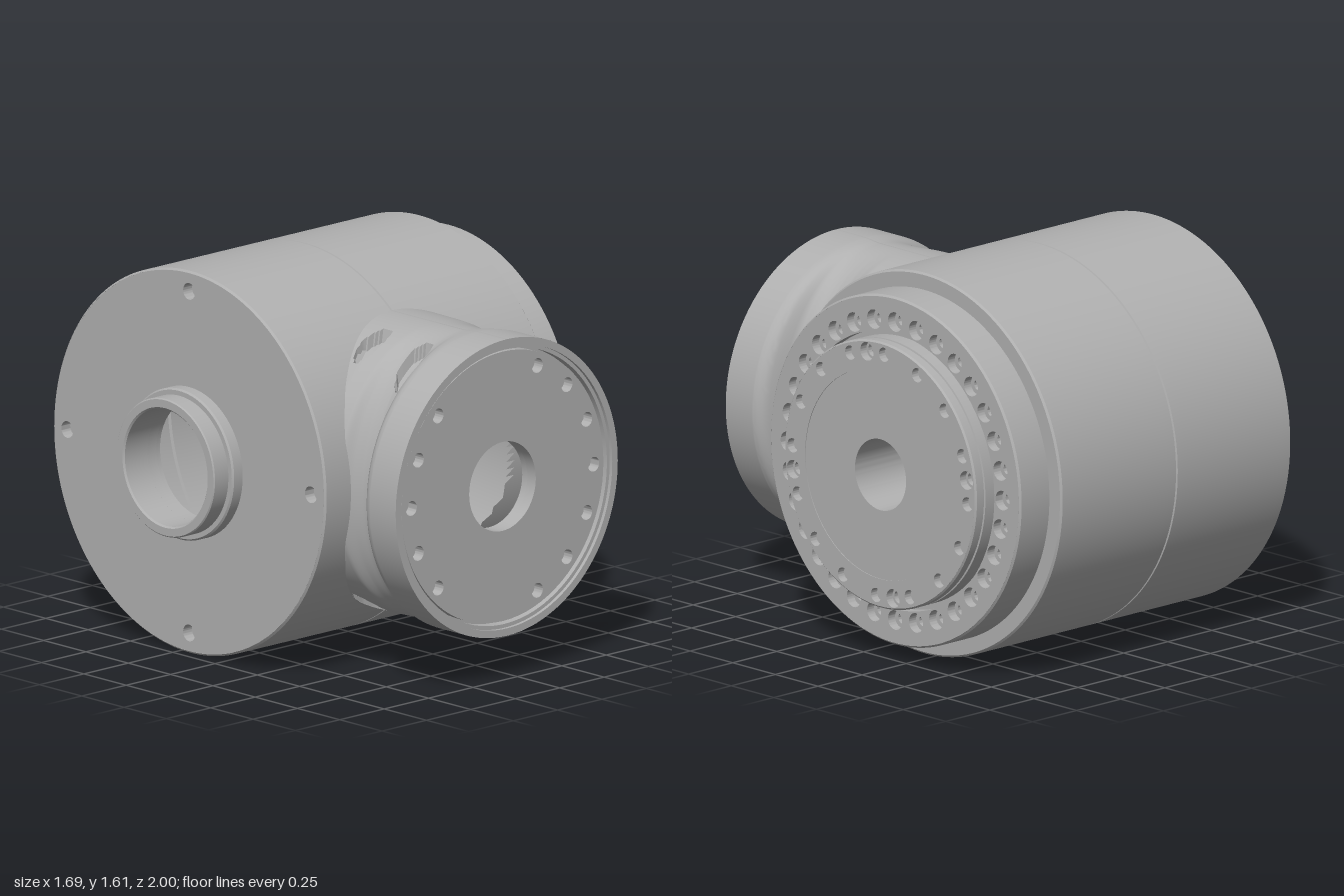
import * as THREE from 'three';
import { toCreasedNormals } from 'three/addons/utils/BufferGeometryUtils.js';

const metal = new THREE.MeshStandardMaterial({ color: 0xb0b0b0, side: THREE.DoubleSide });
metal.name = 'machined grey';

const CY = 0.807, CZ = -0.195; // main axis, along x
const NX = -0.06;              // neck axis, along z
const CREASE = 0.5;

function add(parent, name, geometry) {
  const mesh = new THREE.Mesh(geometry, metal);
  mesh.name = name;
  parent.add(mesh);
  return mesh;
}

// Turned part; profile points are [radius, position along axis], axis is y
function turned(points, segments = 128) {
  const g = new THREE.LatheGeometry(points.map(p => new THREE.Vector2(...p)), segments);
  return toCreasedNormals(g, CREASE);
}

// Flat disc with a bore and round holes [u, v, r], thickness along +z
function plate(outer, inner, holes, depth) {
  const shape = new THREE.Shape();
  shape.absarc(0, 0, outer, 0, Math.PI * 2, false);
  const cut = (u, v, r) => {
    const p = new THREE.Path();
    p.absarc(u, v, r, 0, Math.PI * 2, true);
    shape.holes.push(p);
  };
  if (inner) cut(0, 0, inner);
  holes.forEach(h => cut(...h));
  const curveSegments = 40;
  const g = new THREE.ExtrudeGeometry(shape, { depth, bevelEnabled: false, curveSegments });
  return toCreasedNormals(g, CREASE);
}

// Holes at given angles in degrees on a bolt circle
const circleHoles = (radius, r, angles) => angles.map(a => {
  const t = THREE.MathUtils.degToRad(a);
  return [radius * Math.cos(t), radius * Math.sin(t), r];
});
const every = (n, start = 0) => Array.from({ length: n }, (_, i) => start + i * 360 / n);

// Piecewise linear lookup in [z, value] pairs
function lookup(table, z) {
  for (let i = 1; i < table.length; i++) {
    const [z0, a] = table[i - 1], [z1, b] = table[i];
    if (z <= z1) return a + (b - a) * Math.max(0, (z - z0) / (z1 - z0));
  }
  return table[table.length - 1][1];
}

// Body shell with the parting groove, opened where the neck joins
function bodyShell() {
  const pts = [[0.797, -0.71], [0.805, -0.702]];
  for (let i = 1; i < 14; i++) pts.push([0.805, -0.702 + i * 0.0454]);
  pts.push([0.805, NX - 0.005], [0.793, NX], [0.805, NX + 0.005]);
  for (let i = 1; i < 14; i++) pts.push([0.805, NX + 0.005 + i * 0.0457]);
  pts.push([0.805, 0.587], [0.797, 0.595], [0.72, 0.595]);
  const g = turned(pts, 160);
  g.rotateZ(-Math.PI / 2);
  const pos = g.attributes.position, keep = [];
  for (let i = 0; i < pos.count; i += 3) {
    const x = (pos.getX(i) + pos.getX(i + 1) + pos.getX(i + 2)) / 3 - NX;
    const y = (pos.getY(i) + pos.getY(i + 1) + pos.getY(i + 2)) / 3;
    if (pos.getZ(i) < 0 || Math.hypot(x, y) > 0.4) keep.push(i, i + 1, i + 2);
  }
  g.setIndex(keep);
  return g;
}

// Neck: round section pinched at the sides, with parting groove and bolt pockets
function neckShell() {
  const halfWidth = [[0.2, 0.6], [0.5, 0.57], [0.58, 0.545], [0.61, 0.505], [0.65, 0.472], [0.69, 0.46],
    [0.72, 0.464], [0.74, 0.475], [0.77, 0.51], [0.785, 0.56], [0.8, 0.598], [0.82, 0.617], [0.84, 0.625], [1, 0.625]];
  const halfHeight = [[0.2, 0.617], [0.75, 0.617], [0.83, 0.625], [1, 0.625]];
  const angles = [];
  for (let i = 0; i < 200; i++) {
    const a = i * 1.8;
    if (i % 100 === 50) angles.push(a - 0.5, a, a + 0.5);
    else angles.push(a);
  }
  const verts = [], index = [], rows = 100, n = angles.length;
  for (let j = 0; j <= rows; j++) {
    const z = 0.2 + 0.8 * j / rows;
    for (const deg of angles) {
      const t = THREE.MathUtils.degToRad(deg);
      const k = deg % 180 === 90 ? 0.98 : 1;
      const x = lookup(halfWidth, z) * Math.cos(t);
      let y = lookup(halfHeight, z) * Math.sin(t) * k;
      for (const pz of [0.47, 0.712]) {
        if (((x + 0.25) / 0.09) ** 2 + ((z - pz) / 0.047) ** 2 < 1) y -= Math.sign(y) * 0.05;
      }
      verts.push(x, y, z);
    }
  }
  for (let j = 0; j < rows; j++) for (let i = 0; i < n; i++) {
    const a = j * n + i, b = j * n + (i + 1) % n;
    index.push(a, b, b + n, a, b + n, a + n);
  }
  const g = new THREE.BufferGeometry();
  g.setAttribute('position', new THREE.Float32BufferAttribute(verts, 3));
  g.setIndex(index);
  return toCreasedNormals(g, 0.6);
}

export function createModel() {
  const model = new THREE.Group();
  model.name = 'rotary joint housing';

  const body = new THREE.Group();
  body.name = 'mainBody';
  body.position.set(0, CY, CZ);
  model.add(body);
  add(body, 'bodyShell', bodyShell());

  const ring = (name, pts) => add(body, name, turned(pts).rotateZ(-Math.PI / 2));
  // Discs on the model's left (+x) and right (-x) ends
  const disc = (name, side, x, ...args) => {
    const m = add(body, name, plate(...args));
    m.rotation.y = side * Math.PI / 2;
    m.position.x = x;
  };

  // Rear cover with four screw holes and a hollow boss
  disc('coverPlate', -1, -0.66, 0.797, 0.245, circleHoles(0.72, 0.035, every(4)), 0.05);
  disc('coverBacking', -1, -0.64, 0.797, 0.245, [], 0.02);
  ring('coverBoss', [[0.245, -0.64], [0.245, -0.838], [0.252, -0.845], [0.285, -0.845], [0.29, -0.84],
    [0.29, -0.765], [0.31, -0.765], [0.317, -0.758], [0.317, -0.71]]);

  // Mounting flange with counterbored bolt circle
  ring('flangeWall', [[0.735, 0.595], [0.735, 0.752], [0.727, 0.76]]);
  disc('flangeFace', 1, 0.72, 0.727, 0.583, circleHoles(0.63, 0.041, every(32)), 0.04);
  disc('flangeBoltSeats', 1, 0.69, 0.727, 0.5, circleHoles(0.63, 0.022, every(32)), 0.03);
  disc('flangeBacking', 1, 0.66, 0.727, 0.2, [], 0.02);

  // Output disc with small screw holes, dowel holes and an inner step
  ring('outputRim', [[0.56, 0.68], [0.562, 0.79], [0.55, 0.793], [0.55, 0.8], [0.562, 0.803],
    [0.562, 0.838], [0.555, 0.845]]);
  const dowels = every(4, 8.6);
  disc('outputFace', 1, 0.81, 0.555, 0.44,
    [...circleHoles(0.513, 0.03, every(16, -2.6)), ...circleHoles(0.513, 0.039, dowels)], 0.035);
  disc('outputBacking', 1, 0.79, 0.555, 0.156, circleHoles(0.513, 0.028, dowels), 0.02);
  disc('outputCentre', 1, 0.805, 0.44, 0.156, [], 0.037);

  // Hollow shaft through the housing
  ring('hollowShaft', [[0.149, -0.19], [0.156, -0.19], [0.156, 0.842], [0.15, 0.842], [0.149, -0.19]]);

  // Front neck and its end plate
  const neck = new THREE.Group();
  neck.name = 'neck';
  neck.position.set(NX, 0.81, 0);
  model.add(neck);
  add(neck, 'neckShell', neckShell());
  add(neck, 'neckRim', turned([[0.625, 1], [0.594, 1], [0.594, 0.985], [0.578, 0.985], [0.578, 0.94]])
    .rotateX(Math.PI / 2));
  const faceAngles = every(16).filter(a => ![90, 112.5, 247.5, 270].includes(a));
  add(neck, 'neckFace', plate(0.568, 0.1875, circleHoles(0.513, 0.031, faceAngles), 0.05)).position.z = 0.925;
  add(neck, 'neckBacking', plate(0.6, 0.1875, [], 0.03)).position.z = 0.895;

  return model;
}
